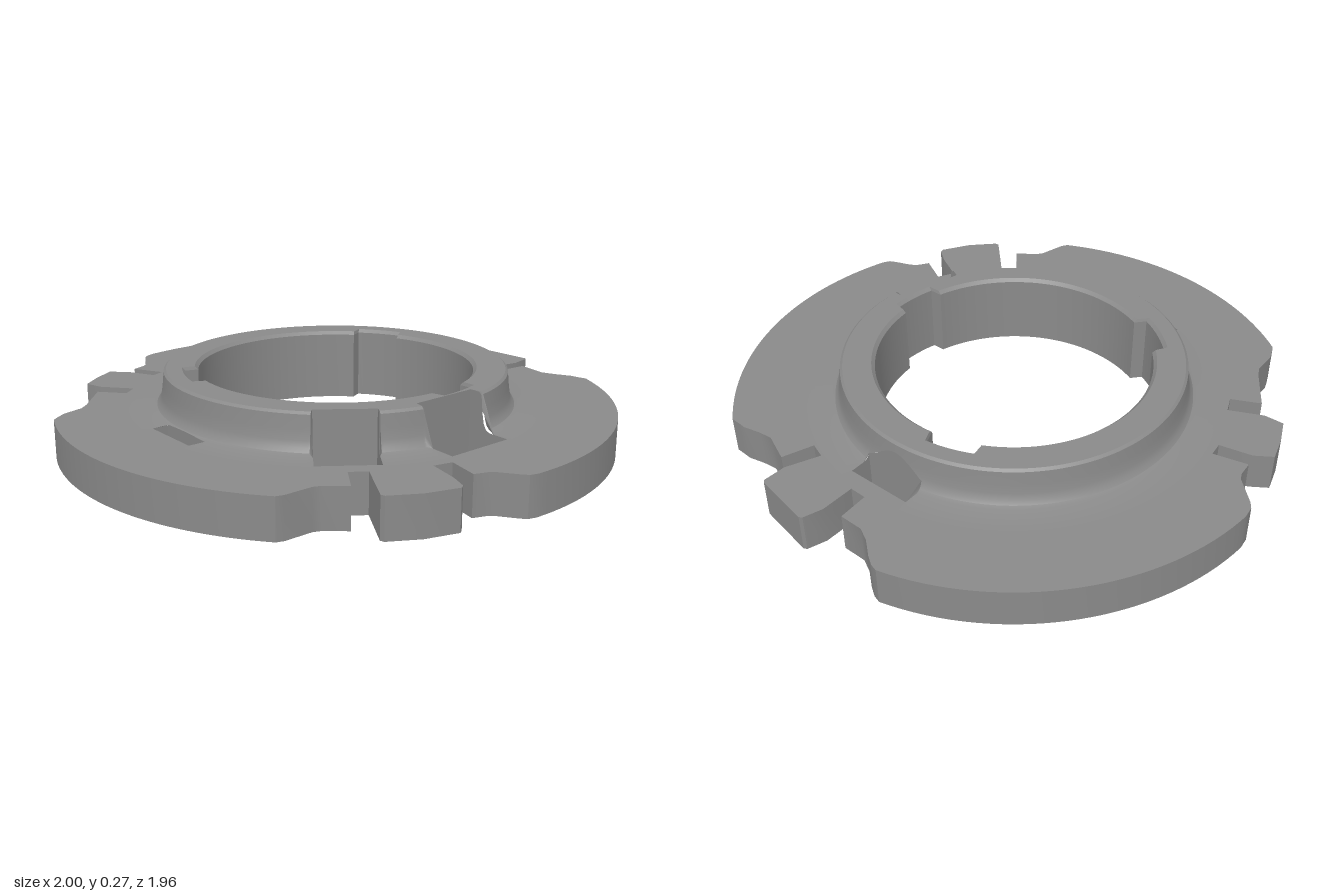
import * as THREE from 'three';
import { toCreasedNormals } from 'three/addons/utils/BufferGeometryUtils.js';

const TAU = Math.PI * 2, rad = d => d * Math.PI / 180;
const CZ = -0.02;              // z of the ring axis
const PLATE_Y = 0.14, TOP_Y = 0.27, R_SPLIT = 0.748;
const polar = (r, t) => [r * Math.cos(t), CZ + r * Math.sin(t)];
const radius = ([x, z]) => Math.hypot(x, z - CZ);
const angle = ([x, z]) => (Math.atan2(z - CZ, x) + TAU) % TAU;

// Collar section: radius, height
const PROFILE = [[0.605, TOP_Y], [0.614, 0.262], [0.619, 0.215], [0.624, 0.18], [0.631, 0.158], [0.641, 0.145], [0.655, PLATE_Y]];
function height(r) {
  if (r <= PROFILE[0][0]) return TOP_Y;
  for (let i = 1; i < PROFILE.length; i++) {
    const [r0, y0] = PROFILE[i - 1], [r1, y1] = PROFILE[i];
    if (r <= r1) return y0 + (y1 - y0) * (r - r0) / (r1 - r0);
  }
  return PLATE_Y;
}

// Rectangular windows through plate and collar, as x, z corners
const WINDOWS = [
  [[-0.245, -0.685], [-0.01, -0.73], [0.005, -0.65], [-0.225, -0.605]],
  [[0.56, -0.10], [0.73, -0.085], [0.715, 0.17], [0.545, 0.15]],
  [[0.50, 0.28], [0.62, 0.38], [0.485, 0.54], [0.365, 0.435]],
  [[-0.15, 0.615], [0.075, 0.635], [0.07, 0.695], [-0.155, 0.675]],
];

// Three shallow key recesses in the bore: start and end angles
const RECESSES = [[-15, 5.5], [105, 128], [-127.5, -106.5]].map(a => a.map(rad));
const RAMP = 0.025;
function bore(t) {
  for (const [a, b] of RECESSES) {
    const d = (t - a + 2 * TAU) % TAU, w = b - a;
    if (d <= w) return 0.492 + 0.045 * Math.min(1, d / RAMP, (w - d) / RAMP);
  }
  return 0.492;
}

// Near and far radius at which a ray from the axis crosses a window
function crossing(poly, t) {
  const c = Math.cos(t), s = Math.sin(t), hits = [];
  poly.forEach((p, i) => {
    const q = poly[(i + 1) % poly.length];
    const dp = c * (p[1] - CZ) - s * p[0], dq = c * (q[1] - CZ) - s * q[0];
    const k = dp / (dp - dq);
    if (k < -1e-6 || k > 1 + 1e-6) return;
    const r = c * (p[0] + k * (q[0] - p[0])) + s * (p[1] - CZ + k * (q[1] - p[1]));
    if (r > 0) hits.push(r);
  });
  return hits.length ? [Math.min(...hits), Math.max(...hits)] : null;
}

// Plate outline: three large arcs joined by slotted tabs
function outline() {
  const arc = (a, b) => Array.from({ length: 33 }, (_, i) => polar(0.998, rad(a + (b - a) * i / 32)));
  return [
    ...arc(174, 245),
    [-0.395, -0.922], [-0.36, -0.908], [-0.30, -0.875], [-0.25, -0.86], [-0.165, -0.875], [-0.14, -0.77], [-0.08, -0.78], [-0.10, -0.90],
    [-0.09, -0.97], [-0.08, -0.978], [0.13, -0.978], [0.14, -0.97], [0.15, -0.89], [0.12, -0.765], [0.18, -0.755], [0.20, -0.87],
    [0.31, -0.845], [0.36, -0.86], [0.42, -0.885], [0.45, -0.888],
    ...arc(-61, 7),
    [0.98, 0.13], [0.96, 0.145], [0.90, 0.18], [0.88, 0.20], [0.86, 0.245], [0.75, 0.21], [0.73, 0.275], [0.84, 0.31],
    [0.90, 0.34], [0.908, 0.355], [0.865, 0.465], [0.80, 0.56], [0.785, 0.563], [0.63, 0.45], [0.59, 0.50], [0.68, 0.575],
    [0.62, 0.635], [0.608, 0.66], [0.60, 0.76], [0.59, 0.785],
    ...arc(56, 118),
    [-0.485, 0.835], [-0.505, 0.80], [-0.52, 0.72], [-0.545, 0.685], [-0.66, 0.565], [-0.57, 0.50], [-0.605, 0.445], [-0.71, 0.52],
    [-0.78, 0.535], [-0.83, 0.46], [-0.872, 0.375], [-0.82, 0.325], [-0.71, 0.28], [-0.725, 0.23], [-0.84, 0.28],
    [-0.855, 0.225], [-0.87, 0.205], [-0.96, 0.145], [-0.98, 0.125],
  ];
}

// Geometry from quads, leaving out collapsed triangles
function fromQuads(quads) {
  const pos = [], a = new THREE.Vector3(), b = new THREE.Vector3();
  const tri = (p, q, r) => {
    a.subVectors(q, p); b.subVectors(r, p);
    if (a.cross(b).length() > 1e-9) for (const v of [p, q, r]) pos.push(v.x, v.y, v.z);
  };
  for (const [p, q, r, s] of quads) { tri(p, q, r); tri(p, r, s); }
  const g = new THREE.BufferGeometry();
  g.setAttribute('position', new THREE.Float32BufferAttribute(pos, 3));
  return toCreasedNormals(g, rad(30));
}

// Upright wall along a closed path, from the ground to topAt(point)
function wall(points, topAt) {
  const v = (p, y) => new THREE.Vector3(p[0], y, p[1]);
  return fromQuads(points.map((p, i) => {
    const q = points[(i + 1) % points.length];
    return [v(p, 0), v(p, topAt(p)), v(q, topAt(q)), v(q, 0)];
  }));
}

export function createModel() {
  const model = new THREE.Group();
  model.name = 'keyedRing';
  const grey = new THREE.MeshStandardMaterial({ color: 0x8a8a8a, side: THREE.DoubleSide });
  grey.name = 'grey';
  const add = (name, geometry) => {
    const mesh = new THREE.Mesh(geometry, grey);
    mesh.name = name;
    model.add(mesh);
  };

  // Angles of the radial slices, with exact window and recess corners
  let thetas = Array.from({ length: 180 }, (_, i) => i * TAU / 180);
  thetas.push(...WINDOWS.flat().map(angle));
  for (const [a, b] of RECESSES) thetas.push(...[a, a + RAMP, b - RAMP, b].map(t => (t + TAU) % TAU));
  thetas = thetas.sort((a, b) => a - b).filter((t, i, all) => i === 0 || t - all[i - 1] > 1e-5);

  // Outer plate, open underneath
  const rim = outline();
  const shape = new THREE.Shape(rim.map(([x, z]) => new THREE.Vector2(x, -z)));
  shape.holes.push(new THREE.Path(thetas.map(t => {
    const [x, z] = polar(R_SPLIT, t);
    return new THREE.Vector2(x, -z);
  })));
  add('plateTop', new THREE.ShapeGeometry(shape).rotateX(-Math.PI / 2).translate(0, PLATE_Y, 0));
  add('plateEdge', wall(rim, () => PLATE_Y));

  // Collar and inner plate, swept around the axis and broken at the windows
  const quads = [];
  const point = (r, t, y) => {
    const [x, z] = polar(r, t);
    return new THREE.Vector3(x, y, z);
  };
  thetas.forEach((t0, i) => {
    const t1 = i + 1 < thetas.length ? thetas[i + 1] : TAU;
    const gap = WINDOWS.find(w => crossing(w, (t0 + t1) / 2));
    const columns = [t0, t1].map(t => {
      const cut = gap ? crossing(gap, t) : null;
      const lip = Math.min(bore(t) + 0.012, cut ? cut[0] : 1);
      const span = (from, to) => [from, ...PROFILE.map(p => Math.min(to, Math.max(from, p[0]))), to].map(r => point(r, t, height(r)));
      const inner = [point(bore(t), t, TOP_Y - 0.012), ...span(lip, cut ? cut[0] : R_SPLIT)];
      return cut ? [inner, span(cut[1], R_SPLIT)] : [inner];
    });
    columns[0].forEach((a, k) => {
      const b = columns[1][k];
      for (let j = 0; j + 1 < a.length; j++) quads.push([a[j], b[j], b[j + 1], a[j + 1]]);
    });
  });
  add('collar', fromQuads(quads));

  // Bore wall with its key recesses
  add('boreWall', wall(thetas.map(t => polar(bore(t), t)).reverse(), () => TOP_Y - 0.012));

  // Window walls, following the collar height
  WINDOWS.forEach(poly => {
    const path = poly.flatMap((p, i) => {
      const q = poly[(i + 1) % 4];
      return Array.from({ length: 24 }, (_, k) => [p[0] + (q[0] - p[0]) * k / 24, p[1] + (q[1] - p[1]) * k / 24]);
    });
    add('windowWall', wall(path.reverse(), p => height(radius(p))));
  });
  return model;
}
